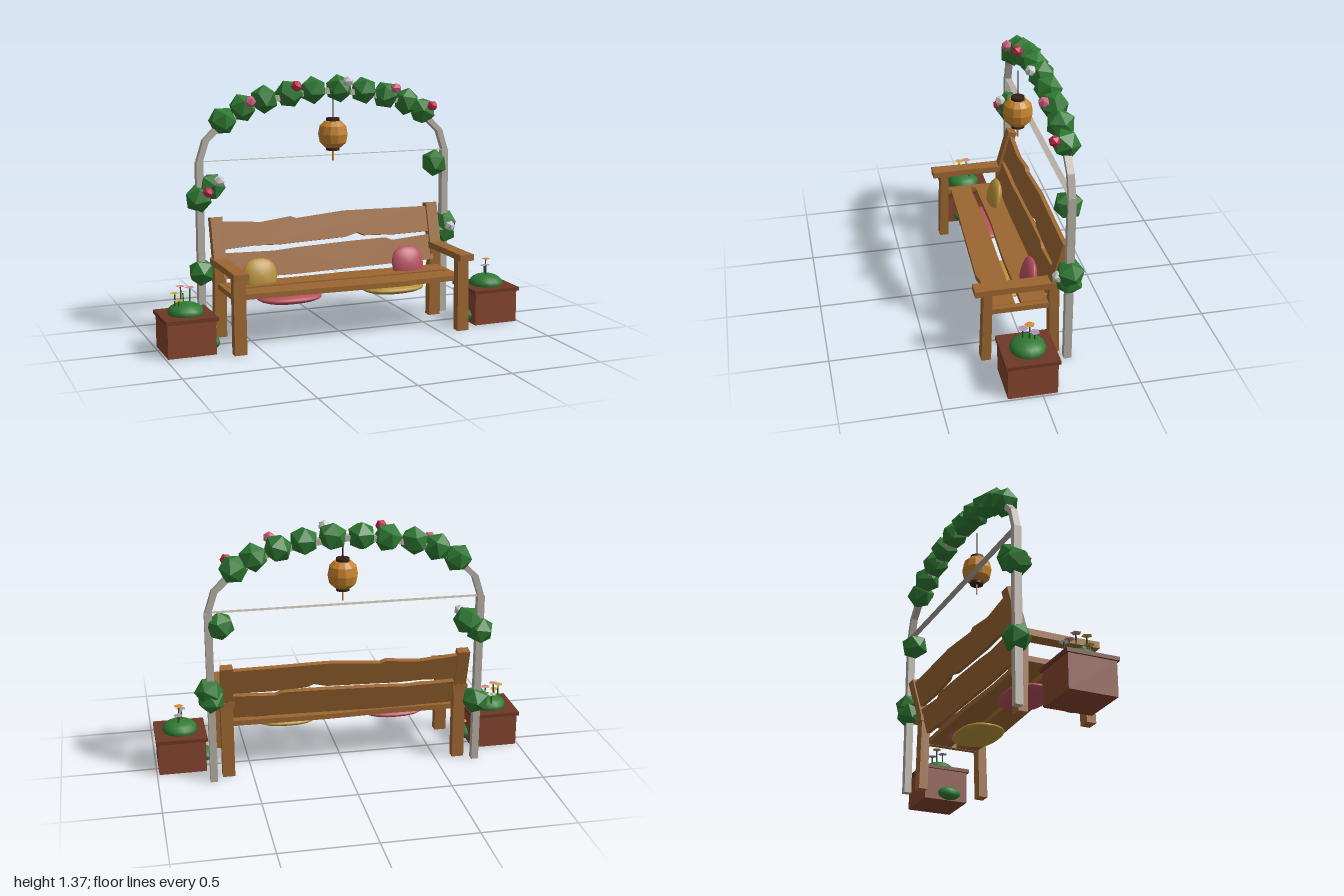
import * as THREE from 'three';

const mat = (color, extra = {}) => new THREE.MeshStandardMaterial({ color, ...extra });
const wood = mat(0x9c6631, { flatShading: true });
const stone = mat(0xb6afa5, { flatShading: true, side: THREE.DoubleSide });
const leaf = mat(0x2f7a33, { flatShading: true });
const plant = mat(0x2f7a33);
const stemMat = mat(0x2a5a2a);
const clay = mat(0x86452f);
const clayRim = mat(0x6e3826);
const amber = mat(0xc4822b, { flatShading: true });
const dark = mat(0x35221a);
const pink = mat(0xb8505f), gold = mat(0xb8923a);
const bloom = {
  red: mat(0xc2274a, { flatShading: true }),
  pink: mat(0xd0607f, { flatShading: true }),
  white: mat(0xd2d0d2, { flatShading: true }),
};
const petal = (c) => mat(c, { side: THREE.DoubleSide });
const petals = { yellow: petal(0xd8ac35), pink: petal(0xd98a92), white: petal(0xd8d0c8), orange: petal(0xd88a3a), lilac: petal(0xa898c8) };

function add(parent, name, geo, material, x = 0, y = 0, z = 0) {
  const m = new THREE.Mesh(geo, material);
  m.name = name;
  m.position.set(x, y, z);
  parent.add(m);
  return m;
}
const box = (w, h, d) => new THREE.BoxGeometry(w, h, d);
const outline = (pts) => new THREE.Shape(pts.map(([x, y]) => new THREE.Vector2(x, y)));
const extrude = (pts, depth) =>
  new THREE.ExtrudeGeometry(outline(pts), { depth, bevelEnabled: false }).translate(0, 0, -depth / 2);

// Pillow: rounded-square outline in xy, thinning to a seam along z
function pillow(w, h, d) {
  const g = new THREE.SphereGeometry(1, 20, 14).rotateX(Math.PI / 2);
  const p = g.attributes.position;
  for (let i = 0; i < p.count; i++) {
    const x = p.getX(i), y = p.getY(i), z = p.getZ(i);
    const r = Math.hypot(x, y) || 1;
    const c = Math.abs(x / r), s = Math.abs(y / r);
    const k = 1 / Math.pow(c ** 2.5 + s ** 2.5, 1 / 2.5);
    p.setXYZ(i, x * k * w, y * k * h, Math.sign(z) * Math.abs(z) ** 1.2 * d);
  }
  g.computeVertexNormals();
  return g;
}

function buildBench() {
  const bench = new THREE.Group();
  bench.name = 'bench';
  // Legs, leaning back posts, arms and side rails
  const frontLeg = [[0.19, 0], [0.24, 0], [0.226, 0.395], [0.18, 0.395]];
  const backPost = [[-0.167, 0], [-0.118, 0], [-0.11, 0.4], [-0.175, 0.64], [-0.222, 0.63], [-0.16, 0.4]];
  const arm = [[-0.04, -0.27], [-0.036, -0.1], [-0.04, 0.17], [0.04, 0.17], [0.036, -0.1], [0.04, -0.27]];
  for (const s of [-1, 1]) {
    add(bench, 'frontLeg', extrude(frontLeg, 0.065), wood, s * 0.627).rotation.y = -Math.PI / 2;
    add(bench, 'backPost', extrude(backPost, 0.065), wood, s * 0.627).rotation.y = -Math.PI / 2;
    add(bench, 'armRest', extrude(arm, 0.034), wood, s * 0.628, 0.408).rotation.x = -Math.PI / 2;
    add(bench, 'sideRail', box(0.03, 0.028, 0.31), wood, s * 0.627, 0.28, 0.035);
  }
  // The two profiles give x and local y; extruded posts map shape x to z
  // Seat boards with uneven edges (shape y is -z)
  const seats = [
    [[-0.61, -0.165], [-0.3, -0.175], [0.05, -0.19], [0.32, -0.2], [0.37, -0.188], [0.61, -0.182],
      [0.61, -0.055], [0.2, -0.05], [-0.2, -0.042], [-0.61, -0.05]],
    [[-0.61, -0.02], [-0.2, -0.012], [0.15, -0.025], [0.61, -0.022], [0.61, 0.115], [0.1, 0.125], [-0.25, 0.112], [-0.61, 0.12]],
  ];
  for (const pts of seats) add(bench, 'seatBoard', extrude(pts, 0.028), wood, 0, 0.281).rotation.x = -Math.PI / 2;
  // Back boards, tilted with the posts
  const backs = [
    [[-0.61, 0.465], [-0.42, 0.475], [-0.28, 0.47], [0.1, 0.482], [0.17, 0.5], [0.21, 0.483], [0.4, 0.475], [0.61, 0.478],
      [0.61, 0.615], [0.35, 0.618], [0.1, 0.622], [-0.18, 0.6], [-0.21, 0.612], [-0.38, 0.593], [-0.61, 0.612]],
    [[-0.61, 0.315], [-0.2, 0.31], [0.2, 0.318], [0.61, 0.325],
      [0.61, 0.462], [0.37, 0.446], [0.33, 0.462], [0.1, 0.458], [-0.2, 0.448], [-0.32, 0.44], [-0.61, 0.447]],
  ];
  for (const pts of backs) {
    const g = extrude(pts.map(([x, y]) => [x, (y - 0.4) / 0.965]), 0.026);
    add(bench, 'backBoard', g, wood, 0, 0.4, -0.137).rotation.x = -0.265;
  }
  // Upright and flat cushions
  for (const [s, top, low] of [[-1, gold, pink], [1, pink, gold]]) {
    add(bench, 'backCushion', pillow(0.093, 0.093, 0.036), top, s * 0.428, 0.332, -0.055).rotation.x = -0.25;
    add(bench, 'seatCushion', pillow(0.175, 0.125, 0.034), low, s * 0.295 - 0.008, 0.233, 0.045).rotation.x = -Math.PI / 2;
  }
  return bench;
}

function buildArch() {
  const arch = new THREE.Group();
  arch.name = 'arch';
  const Z = -0.195, baseY = 0.935;
  for (const s of [-1, 1]) add(arch, 'archPost', box(0.038, baseY, 0.04), stone, s * 0.71, baseY / 2, Z);
  // Half-elliptical hoop in straight segments
  const hoop = new THREE.Shape();
  const N = 10;
  const pt = (i, o) => [Math.cos((i / N) * Math.PI) * (0.71 + o), baseY + Math.sin((i / N) * Math.PI) * (0.35 + o)];
  hoop.moveTo(...pt(0, 0.016));
  for (let i = 1; i <= N; i++) hoop.lineTo(...pt(i, 0.016));
  for (let i = N; i >= 0; i--) hoop.lineTo(...pt(i, -0.016));
  const g = new THREE.ExtrudeGeometry(hoop, { depth: 0.036, bevelEnabled: false });
  add(arch, 'archHoop', g, stone, 0, 0, Z - 0.018);
  // Paper-thin tie across the hoop's feet
  add(arch, 'crossTie', new THREE.PlaneGeometry(1.4, 0.034), stone, 0, baseY, Z).rotation.x = -Math.PI / 2;

  // Foliage clumps over the hoop and up the posts
  const clumps = [
    [-0.58, 1.145], [-0.47, 1.21], [-0.35, 1.25], [-0.21, 1.275], [-0.075, 1.29], [0.075, 1.295], [0.22, 1.28],
    [0.35, 1.25], [0.475, 1.21], [0.575, 1.155], [-0.715, 0.742], [-0.645, 0.8], [-0.705, 0.345],
    [0.65, 0.86], [0.72, 0.51], [0.71, 0.465],
  ];
  clumps.forEach(([x, y], i) => {
    const m = add(arch, 'foliage', new THREE.IcosahedronGeometry(0.077, 0), leaf, x, y, Z);
    m.rotation.set(i * 0.7, i * 1.3, i * 0.9);
  });
  // Blossoms
  const blossoms = [
    [-0.445, 1.245, 'pink'], [-0.19, 1.32, 'red'], [0.105, 1.335, 'white'], [0.385, 1.29, 'pink'],
    [0.605, 1.187, 'red'], [-0.62, 0.838, 'white'], [-0.68, 0.782, 'red'], [0.725, 0.503, 'white'],
  ];
  blossoms.forEach(([x, y, c], i) => {
    add(arch, 'blossom', new THREE.IcosahedronGeometry(0.031, 0), bloom[c], x, y, -0.132).rotation.set(i, i * 0.6, 0);
  });
  return arch;
}

function buildLantern() {
  const lantern = new THREE.Group();
  lantern.name = 'lantern';
  lantern.position.set(0, 1.062, -0.092);
  const profile = [[0.001, -0.07], [0.045, -0.07], [0.071, -0.045], [0.08, 0], [0.071, 0.045], [0.045, 0.07], [0.001, 0.07]];
  add(lantern, 'lanternBody', new THREE.LatheGeometry(profile.map((p) => new THREE.Vector2(...p)), 12), amber);
  for (const s of [-1, 1]) add(lantern, 'lanternCap', new THREE.CylinderGeometry(0.036, 0.036, 0.016, 12), dark, 0, s * 0.079, 0);
  add(lantern, 'cord', new THREE.CylinderGeometry(0.003, 0.003, 0.15, 6), dark, 0, 0.157, 0);
  add(lantern, 'tassel', new THREE.CylinderGeometry(0.005, 0.005, 0.06, 6), amber, 0, -0.112, 0);
  return lantern;
}

// Stem with a flat five-sided bloom
function flower(parent, x, z, base, top, color) {
  add(parent, 'flowerStem', new THREE.CylinderGeometry(0.004, 0.004, top - base, 5), stemMat, x, (top + base) / 2, z);
  const m = add(parent, 'flowerHead', new THREE.CircleGeometry(0.027, 5), petals[color], x, top, z);
  m.rotation.set(-Math.PI / 2, 0, x * 40);
  add(parent, 'flowerEye', new THREE.CircleGeometry(0.009, 6), petals.orange, x, top + 0.001, z).rotation.x = -Math.PI / 2;
}

function buildPlanter(side, flowers) {
  const planter = new THREE.Group();
  planter.name = 'planter';
  const x = side * 0.862, z = 0.048;
  add(planter, 'pot', box(0.252, 0.18, 0.252), clay, x, 0.09, z);
  add(planter, 'potRim', box(0.272, 0.02, 0.272), clayRim, x, 0.186, z);
  const mound = add(planter, 'plantMound', new THREE.SphereGeometry(1, 14, 10), plant, x, 0.205, z);
  mound.scale.set(0.094, 0.052, 0.092);
  for (const [fx, fz, top, c] of flowers) flower(planter, fx, fz, 0.21, top, c);
  // Low tuft beside the pot
  const tuft = add(planter, 'groundTuft', new THREE.SphereGeometry(1, 10, 8), plant, side * 0.735, 0.04, 0.065);
  tuft.scale.set(0.045, 0.038, 0.068);
  return planter;
}

export function createModel() {
  const model = new THREE.Group();
  model.name = 'gardenBenchWithArch';
  const left = buildPlanter(-1, [
    [-0.92, 0.06, 0.31, 'yellow'], [-0.905, 0.08, 0.275, 'yellow'], [-0.88, 0.025, 0.335, 'pink'],
    [-0.855, -0.025, 0.29, 'white'], [-0.83, 0.015, 0.322, 'pink'],
  ]);
  flower(left, -0.718, 0.045, 0.04, 0.11, 'yellow');
  const right = buildPlanter(1, [[0.85, 0.07, 0.31, 'lilac'], [0.864, 0.04, 0.338, 'orange'], [0.87, 0.015, 0.295, 'lilac']]);
  model.add(buildBench(), buildArch(), buildLantern(), left, right);
  return model;
}
